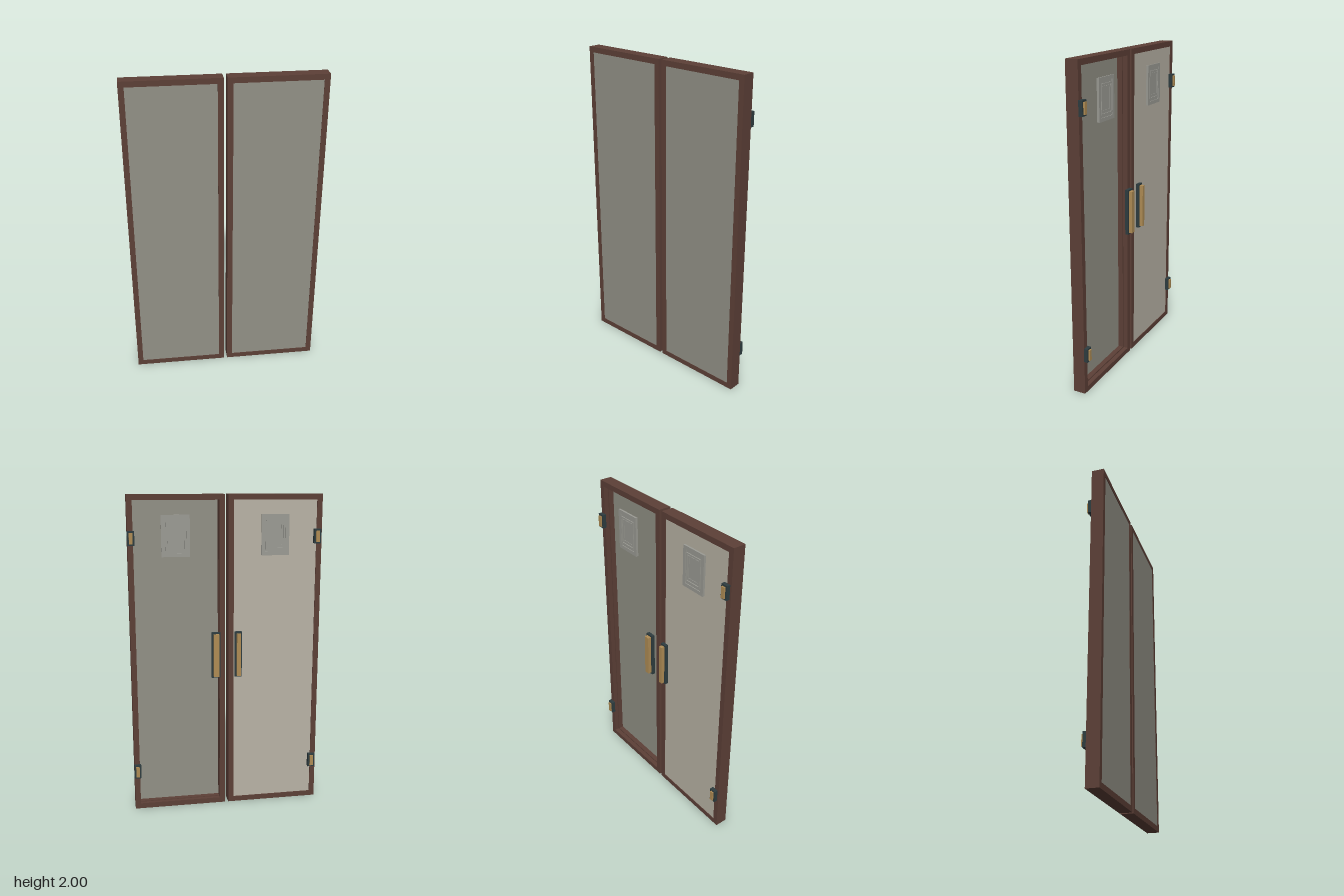
import * as THREE from 'three';

const mat = (name, color, side = THREE.FrontSide) => {
  const m = new THREE.MeshStandardMaterial({ color, side });
  m.name = name;
  return m;
};

export function createModel() {
  const wood = mat('brown wood', 0x5d4037);
  const glass = mat('grey glass', 0x929186);
  const lining = mat('beige lining', 0xbab4a6);
  const trim = mat('grey trim', 0x9c9c95);
  const iron = mat('dark iron', 0x2e3d40);
  const brass = mat('brass', 0xb08d55);

  // Box given by its limits on each axis
  const box = (name, m, [x0, x1], [y0, y1], [z0, z1]) => {
    const mesh = new THREE.Mesh(new THREE.BoxGeometry(x1 - x0, y1 - y0, z1 - z0), m);
    mesh.position.set((x0 + x1) / 2, (y0 + y1) / 2, (z0 + z1) / 2);
    mesh.name = name;
    return mesh;
  };

  // Rectangular ring: outer limits, border width and depth range
  const ring = (name, m, [x0, x1], [y0, y1], border, [z0, z1]) => {
    const rect = (P, b) => new P([
      new THREE.Vector2(x0 + b, y0 + b), new THREE.Vector2(x1 - b, y0 + b),
      new THREE.Vector2(x1 - b, y1 - b), new THREE.Vector2(x0 + b, y1 - b),
    ]);
    const shape = rect(THREE.Shape, 0);
    shape.holes.push(rect(THREE.Path, border));
    const mesh = new THREE.Mesh(
      new THREE.ExtrudeGeometry(shape, { depth: z1 - z0, bevelEnabled: false }), m);
    mesh.position.z = z0;
    mesh.name = name;
    return mesh;
  };

  // Nested mouldings near the top of the back of a leaf
  const plaque = (cx) => {
    const g = new THREE.Group();
    g.name = 'plaque';
    const cy = 1.755;
    const span = (c, h) => [c - h, c + h];
    g.add(box('plaqueBase', trim, span(cx, 0.086), span(cy, 0.123), [-0.018, -0.008]));
    [[0.087, 0.125, 0.022, -0.023], [0.06, 0.088, 0.008, -0.024], [0.05, 0.073, 0.011, -0.021]]
      .forEach(([w, h, b, z]) =>
        g.add(ring('plaqueMoulding', trim, span(cx, w), span(cy, h), b, [z, -0.017])));
    return g;
  };

  // Iron block carrying a narrower brass bar
  const fitting = (name, x, y, z, inset, barZ) => {
    const g = new THREE.Group();
    g.name = name;
    g.add(box(name + 'Plate', iron, x, y, z));
    g.add(box(name + 'Bar', brass, [x[0] + inset, x[1] - inset], [y[0] + 0.01, y[1] - 0.01], [barZ, z[0]]));
    return g;
  };

  const leaf = (name, x, handleX, hingeX, plaqueX, lined) => {
    const g = new THREE.Group();
    g.name = name;
    const y = [0, 2], border = 0.034;
    const inner = [x[0] + 0.03, x[1] - 0.03];
    // Frame in three layers, the middle one set back as a groove
    g.add(ring('frameBack', wood, x, y, border, [-0.013, 0.012]));
    g.add(ring('frameGroove', wood, x, y, border - 0.008, [0.012, 0.022]));
    g.add(ring('frameFront', wood, x, y, border, [0.022, 0.065]));
    g.add(box('frontPanel', glass, inner, [0.03, 1.97], [0.055, 0.063]));
    if (lined) g.add(box('backPanel', lining, inner, [0.03, 1.97], [-0.009, 0]));
    g.add(plaque(plaqueX));
    g.add(fitting('handle', handleX, [0.87, 1.16], [-0.047, -0.026], 0.01, -0.069));
    for (const y0 of [0.22, 1.7])
      g.add(fitting('hinge', hingeX, [y0, y0 + 0.088], [-0.036, -0.012], 0.011, -0.046));
    return g;
  };

  const model = new THREE.Group();
  model.name = 'doubleDoor';
  model.add(leaf('rightLeaf', [-0.602, -0.012], [-0.092, -0.048], [-0.592, -0.548], -0.304, true));
  model.add(leaf('leftLeaf', [0.01, 0.6], [0.044, 0.099], [0.558, 0.602], 0.312, false));
  return model;
}
